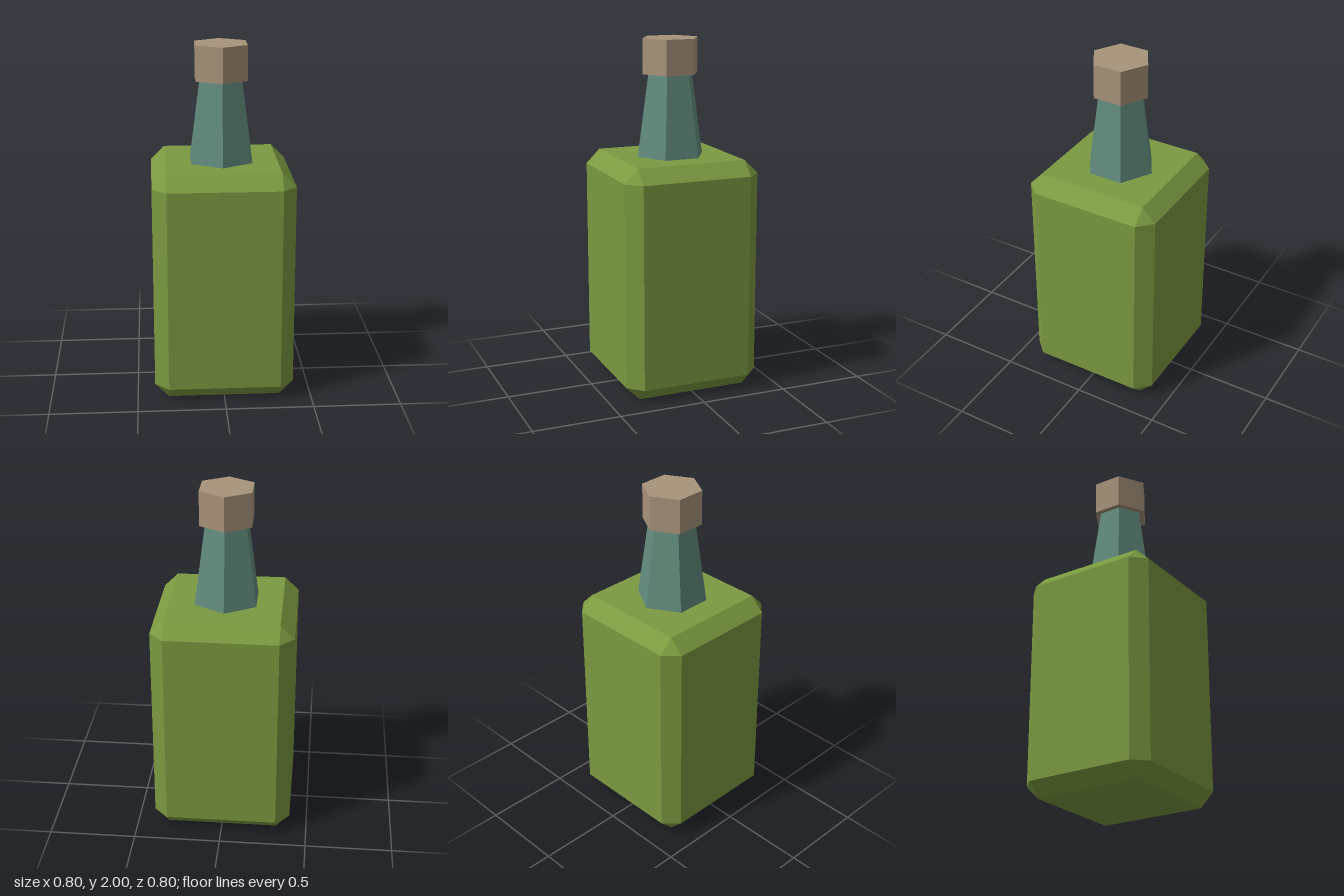
import * as THREE from 'three';
import { ConvexGeometry } from 'three/addons/geometries/ConvexGeometry.js';

const flat = (name, color) => {
  const material = new THREE.MeshStandardMaterial({ color, flatShading: true });
  material.name = name;
  return material;
};

// Box with every edge and corner cut off by the same amount
function chamferedBox(w, h, d, cut) {
  const points = [];
  for (const sx of [-1, 1]) for (const sy of [-1, 1]) for (const sz of [-1, 1]) {
    for (let axis = 0; axis < 3; axis++) {
      const [x, y, z] = [w, h, d].map((size, i) => size / 2 - (i === axis ? 0 : cut));
      points.push(new THREE.Vector3(sx * x, sy * y, sz * z));
    }
  }
  return new ConvexGeometry(points);
}

export function createModel() {
  const group = new THREE.Group();
  group.name = 'bottle';

  const add = (name, geometry, material, y) => {
    const mesh = new THREE.Mesh(geometry, material);
    mesh.name = name;
    mesh.position.y = y;
    group.add(mesh);
  };

  const bodyHeight = 1.333, capBase = 1.8, top = 2;

  // Square body
  add('body', chamferedBox(0.8, bodyHeight, 0.8, 0.08), flat('olive green', 0x7a9a40), bodyHeight / 2);

  // Tapered six-sided neck
  add('neck', new THREE.CylinderGeometry(0.133, 0.2, capBase - bodyHeight, 6),
    flat('glass teal', 0x628c7d), (bodyHeight + capBase) / 2);

  // Six-sided stopper
  add('stopper', new THREE.CylinderGeometry(0.167, 0.167, top - capBase, 6),
    flat('cork brown', 0xa8937b), (capBase + top) / 2);

  return group;
}
